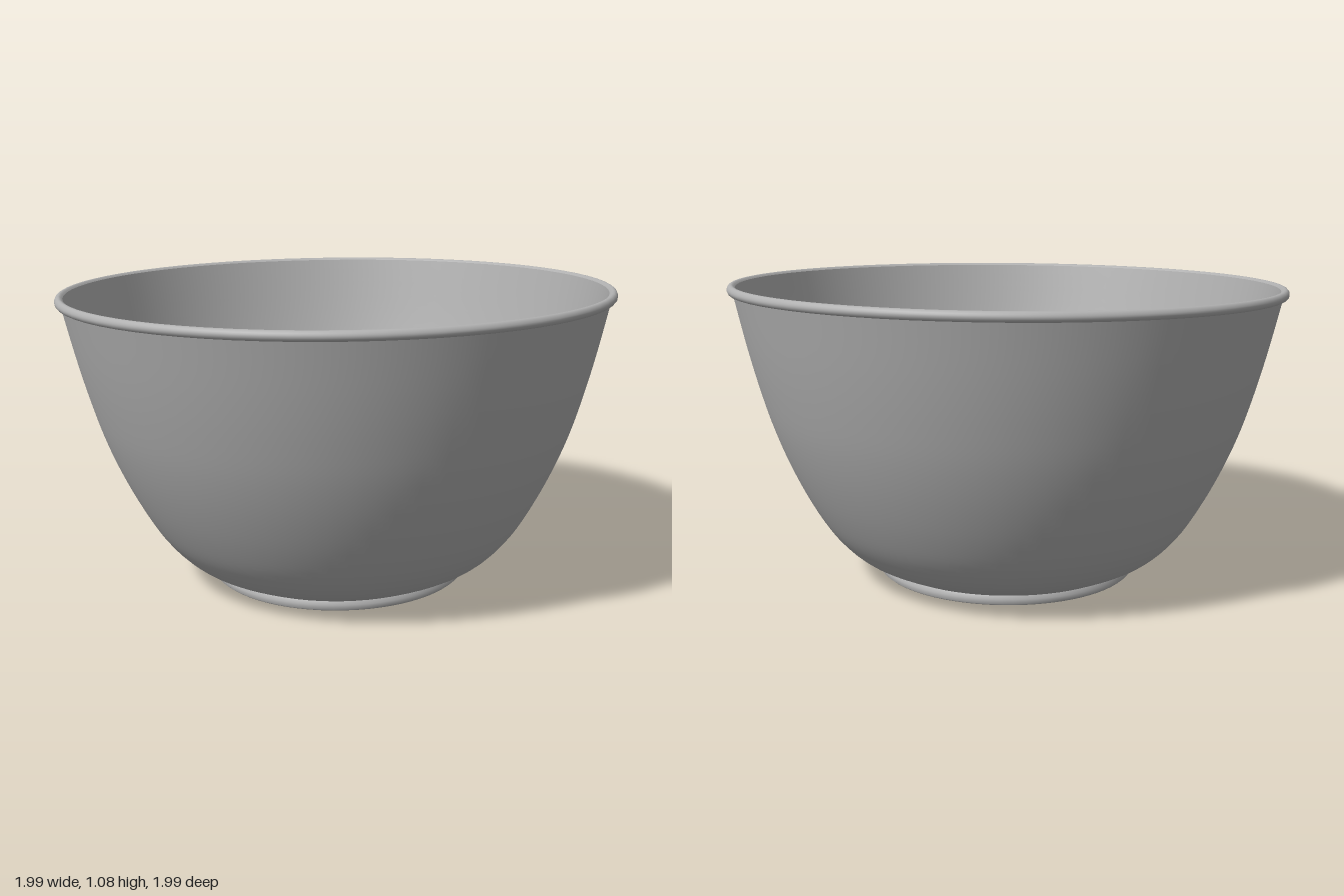
import * as THREE from 'three';

const SEGMENTS = 72;

export function createModel() {
  const grey = new THREE.MeshStandardMaterial({ color: 0xb0b0b0 });
  grey.name = 'bowl grey';

  const bowl = new THREE.Group();
  bowl.name = 'bowl';

  // Turn a profile of [radius, height] points into one part of the bowl
  const turn = (name, profile, samples = 0) => {
    let points = profile.map(([r, y]) => new THREE.Vector2(r, y));
    if (samples) points = new THREE.SplineCurve(points).getPoints(samples);
    points.forEach((p) => { p.x = Math.max(p.x, 0); });
    const mesh = new THREE.Mesh(new THREE.LatheGeometry(points, SEGMENTS), grey);
    mesh.name = name;
    bowl.add(mesh);
  };

  // Flat underside and the short foot it stands on
  turn('underside', [[0, 0.006], [0.45, 0.006]]);
  turn('footEdge', [[0.45, 0.006], [0.455, 0], [0.468, 0]]);
  turn('foot', [[0.468, 0], [0.475, 0.006], [0.475, 0.022], [0.468, 0.034]]);

  // Outer wall, curving up from the foot to just below the lip
  turn('outerWall', [
    [0.468, 0.034], [0.57, 0.087], [0.655, 0.172], [0.727, 0.285], [0.795, 0.422],
    [0.85, 0.56], [0.893, 0.7], [0.932, 0.85], [0.972, 1.028],
  ], 36);

  // Rolled lip
  turn('lip', [
    [0.972, 1.028], [0.985, 1.029], [0.992, 1.038], [0.992, 1.048],
    [0.985, 1.058], [0.974, 1.06], [0.964, 1.052],
  ], 14);

  // Inner wall running down into the flat floor
  turn('innerWall', [
    [0.964, 1.052], [0.916, 0.85], [0.876, 0.7], [0.832, 0.56], [0.776, 0.427],
    [0.707, 0.297], [0.635, 0.19], [0.55, 0.11], [0.45, 0.063], [0.4, 0.056],
  ], 36);
  turn('floor', [[0.4, 0.056], [0, 0.056]]);

  // The bowl leans very slightly towards its right
  bowl.rotation.z = 0.016;
  bowl.position.set(0.014, 0.008, 0);

  const model = new THREE.Group();
  model.name = 'mixingBowl';
  model.add(bowl);
  return model;
}
